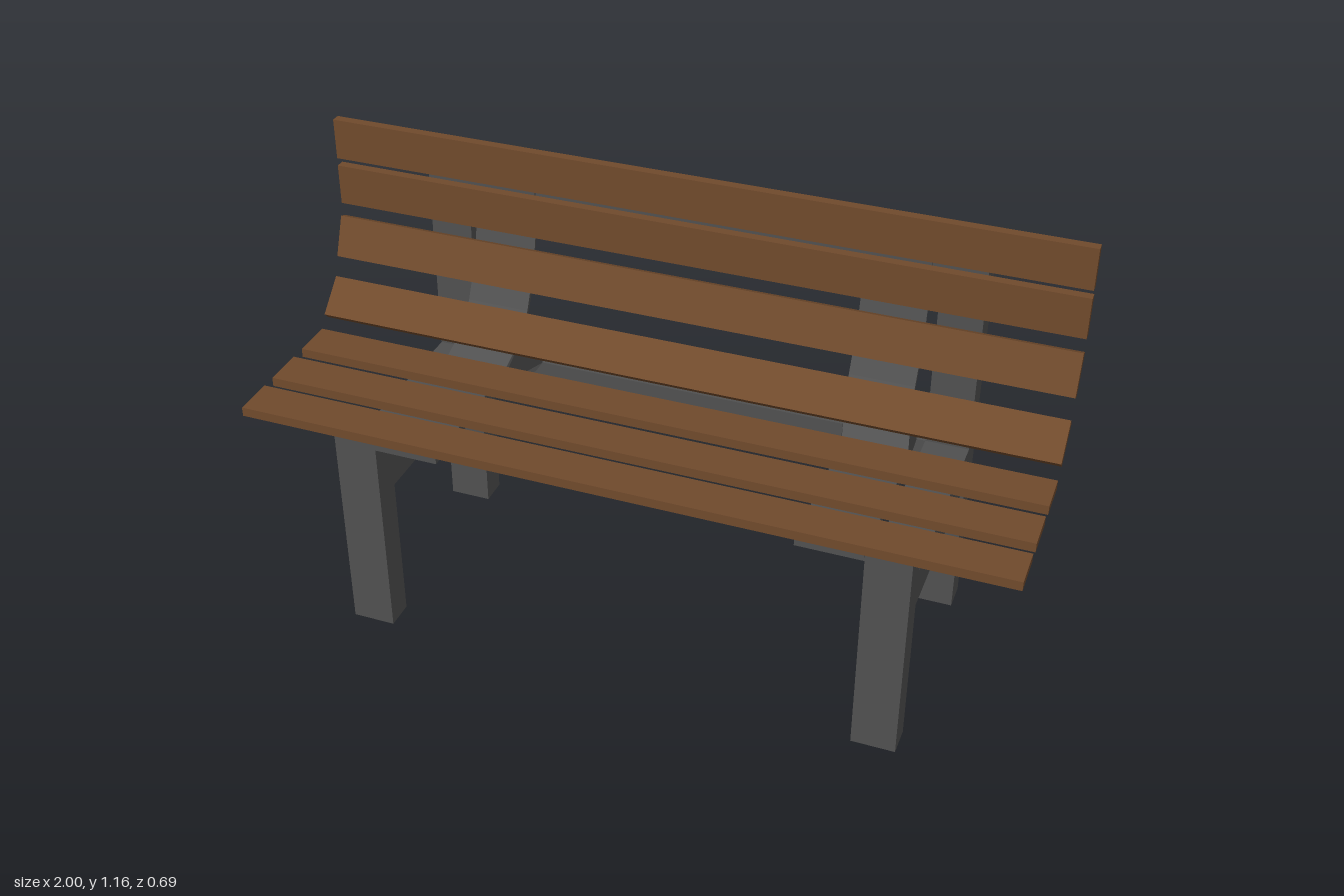
import * as THREE from 'three';

const frameMat = new THREE.MeshStandardMaterial({ color: 0x505050, flatShading: true });
const woodMat = new THREE.MeshStandardMaterial({ color: 0x704a2c, flatShading: true });

// Box given by its min and max corners
function box(name, [x0, y0, z0], [x1, y1, z1], mat) {
  const m = new THREE.Mesh(new THREE.BoxGeometry(x1 - x0, y1 - y0, z1 - z0), mat);
  m.position.set((x0 + x1) / 2, (y0 + y1) / 2, (z0 + z1) / 2);
  m.name = name;
  return m;
}

// Side profile of [z, y] points extruded along x from x0 to x1
function profile(name, points, x0, x1) {
  const shape = new THREE.Shape(points.map(([z, y]) => new THREE.Vector2(-z, y)));
  const geo = new THREE.ExtrudeGeometry(shape, { depth: x1 - x0, bevelEnabled: false });
  geo.rotateY(Math.PI / 2);
  geo.translate(x0, 0, 0);
  const mesh = new THREE.Mesh(geo, frameMat);
  mesh.name = name;
  return mesh;
}

export function createModel() {
  const bench = new THREE.Group();
  bench.name = 'bench';

  // Legs, side rails, seat brackets and back straps on both sides
  for (const s of [1, -1]) {
    const side = s > 0 ? 'left' : 'right';
    const xs = (a, b) => (s > 0 ? [a, b] : [-b, -a]);
    const [a, b] = xs(0.633, 0.747);
    bench.add(
      box(side + 'FrontLeg', [a, 0, 0.256], [b, 0.592, 0.333], frameMat),
      box(side + 'BackLeg', [a, 0, -0.345], [b, 1.11, -0.268], frameMat),
      box(side + 'SideRail', [a, 0.408, -0.268], [b, 0.515, 0.256], frameMat)
    );

    // Seat plate running back into a solid wedge
    const bracket = profile(side + 'SeatBracket', [
      [0.335, 0.567], [0.335, 0.592], [-0.06, 0.592], [-0.168, 0.677],
      [-0.268, 0.567], [-0.268, 0.515], [-0.22, 0.515], [-0.05, 0.567]
    ], ...xs(0.463, 0.633));
    // The wedge leans slightly inwards towards the back
    const p = bracket.geometry.attributes.position;
    for (let i = 0; i < p.count; i++) {
      const t = THREE.MathUtils.clamp((-0.06 - p.getZ(i)) / 0.1, 0, 1);
      p.setX(i, p.getX(i) - s * 0.023 * t);
    }
    bracket.geometry.computeVertexNormals();
    bench.add(bracket);

    // Thin curved strap carrying the backrest slats
    bench.add(profile(side + 'BackStrap', [
      [-0.155, 0.685], [-0.185, 0.725], [-0.222, 0.8], [-0.244, 0.865], [-0.258, 0.925], [-0.261, 1.09],
      [-0.268, 1.09], [-0.265, 0.96], [-0.259, 0.915], [-0.252, 0.865], [-0.24, 0.808], [-0.205, 0.74], [-0.168, 0.672]
    ], ...xs(0.44, 0.61)));
  }

  // Cross rails between the back legs
  bench.add(
    box('lowerBackRail', [-0.633, 0.408, -0.345], [0.633, 0.515, -0.268], frameMat),
    box('upperBackRail', [-0.633, 1.0, -0.345], [0.633, 1.11, -0.268], frameMat)
  );

  // Slats: z, y and tilt in degrees, from the seat front to the top of the back
  const slats = [
    [0.293, 0.606, 0], [0.143, 0.606, 0], [-0.01, 0.606, 0],
    [-0.134, 0.682, 44], [-0.215, 0.829, 68], [-0.247, 0.974, 90], [-0.248, 1.106, 90]
  ];
  slats.forEach(([z, y, tilt], i) => {
    const slat = new THREE.Mesh(new THREE.BoxGeometry(2, 0.025, 0.111), woodMat);
    slat.position.set(0, y, z);
    slat.rotation.x = THREE.MathUtils.degToRad(tilt);
    slat.name = i < 3 ? 'seatSlat' : 'backSlat';
    bench.add(slat);
  });

  return bench;
}
